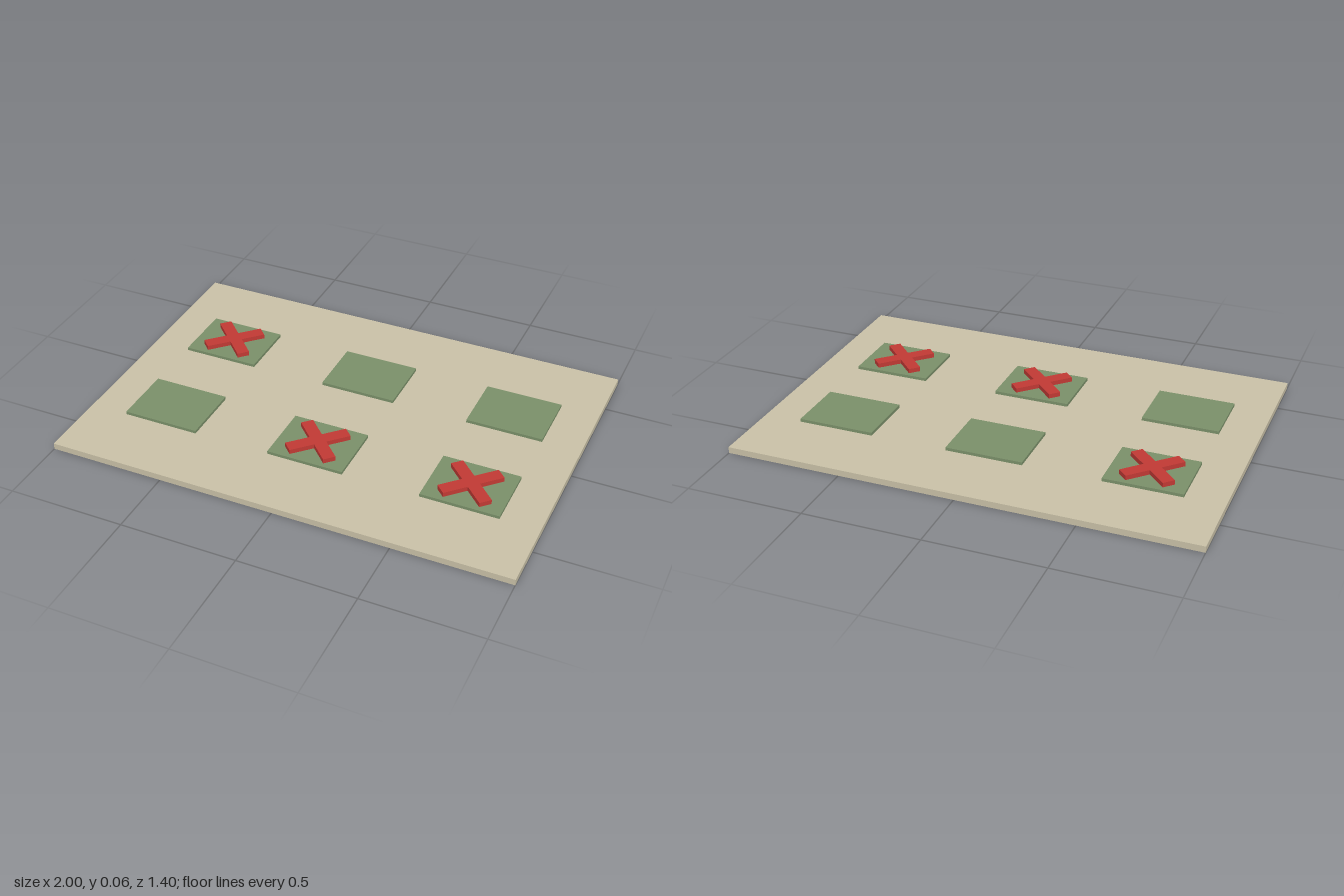
import * as THREE from 'three';

const paint = (name, color) => Object.assign(new THREE.MeshStandardMaterial({ color }), { name });

export function createModel() {
  const sand = paint('sand', 0xc8c0a6);
  const green = paint('mossGreen', 0x7a8f69);
  const red = paint('markRed', 0xc03934);
  const group = new THREE.Group();
  group.name = 'markedBoard';

  const add = (name, geometry, material, x, y, z) => {
    const mesh = new THREE.Mesh(geometry, material);
    mesh.name = name;
    mesh.position.set(x, y, z);
    group.add(mesh);
    return mesh;
  };

  // Layer heights
  const boardTop = 0.027, tileTop = 0.04, crossTop = 0.06;

  // Base board
  add('board', new THREE.BoxGeometry(2, boardTop, 1.4), sand, 0, boardTop / 2, 0);

  // Cross outline: one arm end, turned four times, as a plus on the diagonal
  const half = 0.1333, w = 0.0267;
  const points = [];
  for (let i = 0; i < 4; i++) {
    const turn = Math.PI / 4 + i * Math.PI / 2;
    for (const [x, y] of [[half, -w], [half, w], [w, w]]) {
      points.push(new THREE.Vector2(x, y).rotateAround(new THREE.Vector2(), turn));
    }
  }
  const crossGeometry = new THREE.ExtrudeGeometry(new THREE.Shape(points), {
    depth: crossTop - tileTop, bevelEnabled: false,
  }).rotateX(-Math.PI / 2);

  // Two rows of three tiles, some crossed out
  const tileGeometry = new THREE.BoxGeometry(0.333, tileTop - boardTop, 0.267);
  const rows = [
    { z: -0.267, crossed: [true, false, false] },
    { z: 0.267, crossed: [false, true, true] },
  ];
  for (const { z, crossed } of rows) {
    crossed.forEach((marked, i) => {
      const x = (i - 1) * 0.6667;
      add('tile', tileGeometry, green, x, (boardTop + tileTop) / 2, z);
      if (marked) add('cross', crossGeometry, red, x, tileTop, z);
    });
  }
  return group;
}
